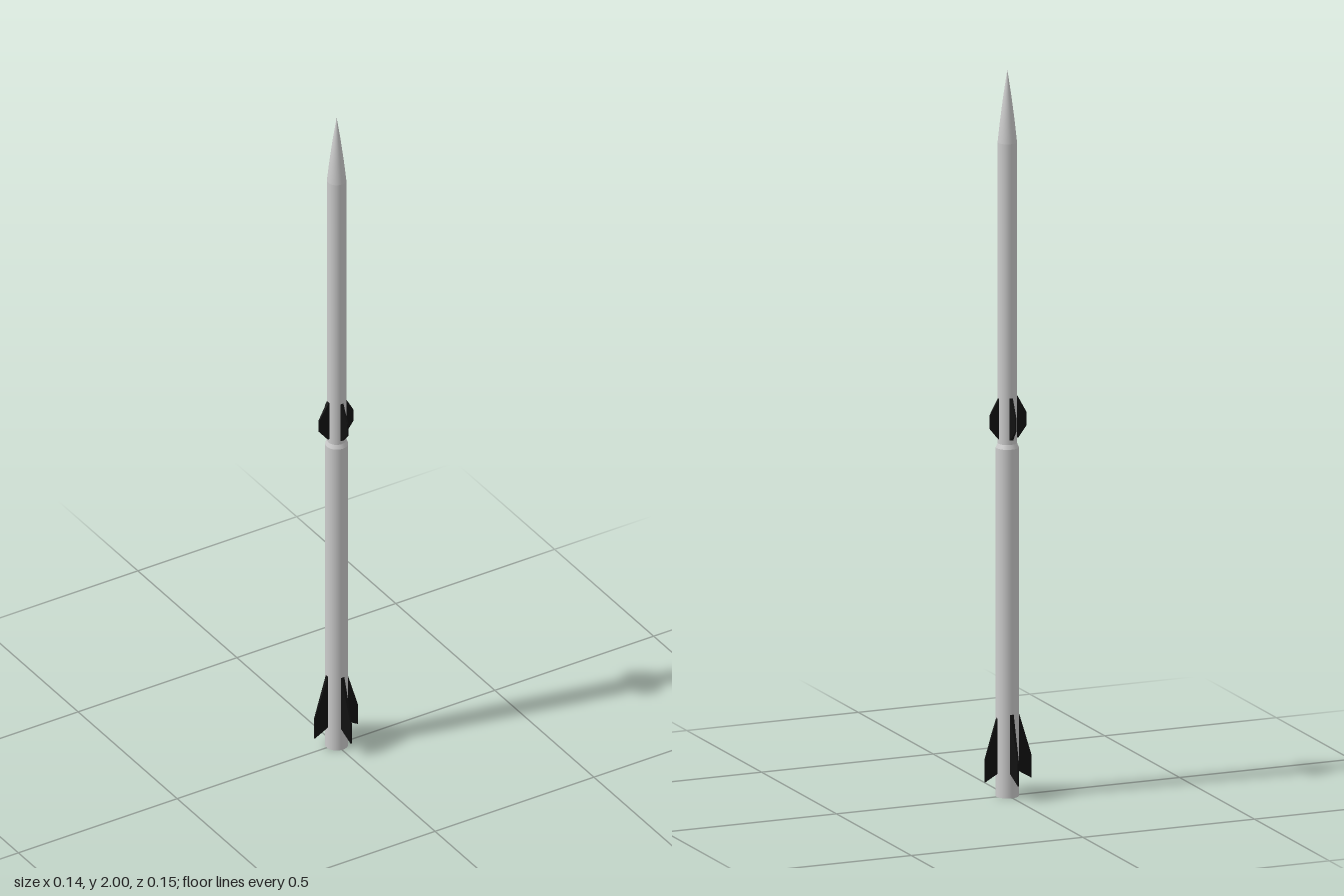
import * as THREE from 'three';

const AXIS_X = 0.002; // the tube sits slightly beside the middle of the fin span

const grey = new THREE.MeshStandardMaterial({ color: 0xcccccc });
const black = new THREE.MeshStandardMaterial({ color: 0x111111, flatShading: true });

// Solid of revolution; each section gets its own normals so joints stay crisp
function turned(name, sections) {
  const group = new THREE.Group();
  group.name = name;
  for (const points of sections) {
    const profile = points.map(([r, y]) => new THREE.Vector2(r, y));
    group.add(new THREE.Mesh(new THREE.LatheGeometry(profile, 32), grey));
  }
  group.children.forEach((mesh, i) => { mesh.name = `${name}Section${i + 1}`; });
  group.position.x = AXIS_X;
  return group;
}

// Fin plate in the x-y plane, thick at the root and thin at the tip
function finGeometry(outline, rootHalf, tipHalf) {
  const shape = new THREE.Shape(outline.map(([x, y]) => new THREE.Vector2(x, y)));
  const geometry = new THREE.ExtrudeGeometry(shape, { depth: 2, bevelEnabled: false });
  geometry.translate(0, 0, -1);
  const xs = outline.map((p) => p[0]);
  const inner = Math.min(...xs), outer = Math.max(...xs);
  const pos = geometry.attributes.position;
  for (let i = 0; i < pos.count; i++) {
    const t = (pos.getX(i) - inner) / (outer - inner);
    pos.setZ(i, pos.getZ(i) * THREE.MathUtils.lerp(rootHalf, tipHalf, t));
  }
  geometry.computeVertexNormals();
  return geometry;
}

// Four fins around the tube; the side pair is a little shorter than front and back
function finSet(name, geometry, sideScale) {
  const group = new THREE.Group();
  group.name = name;
  ['left', 'back', 'right', 'front'].forEach((side, i) => {
    const fin = new THREE.Mesh(geometry, black);
    fin.name = `${side}Fin`;
    fin.rotation.y = i * Math.PI / 2;
    if (i % 2 === 0) fin.scale.x = sideScale;
    else fin.position.x = AXIS_X;
    group.add(fin);
  });
  return group;
}

export function createModel() {
  const rocket = new THREE.Group();
  rocket.name = 'twoStageRocket';

  // Booster: closed base, straight tube, short shoulder up to the upper stage
  rocket.add(turned('booster', [
    [[0, 0], [0.031, 0]],
    [[0.031, 0], [0.031, 0.96]],
    [[0.031, 0.96], [0.026, 0.972]],
  ]));

  // Upper stage tube
  rocket.add(turned('upperStage', [[[0.026, 0.96], [0.026, 1.8]]]));

  // Slim pointed nose
  rocket.add(turned('noseCone', [[[0.026, 1.8], [0.0195, 1.86], [0.0105, 1.93], [0, 2]]]));

  // Large swept fins at the base
  const boosterFin = finGeometry(
    [[0.025, 0.07], [0.074, 0.043], [0.074, 0.105], [0.031, 0.23], [0.025, 0.23]], 0.0055, 0.002);
  rocket.add(finSet('boosterFins', boosterFin, 0.92));

  // Small clipped fins above the joint
  const upperFin = finGeometry(
    [[0.02, 0.985], [0.03, 0.985], [0.056, 1.015], [0.056, 1.052], [0.027, 1.1], [0.02, 1.1]], 0.005, 0.002);
  rocket.add(finSet('upperFins', upperFin, 0.95));

  return rocket;
}
